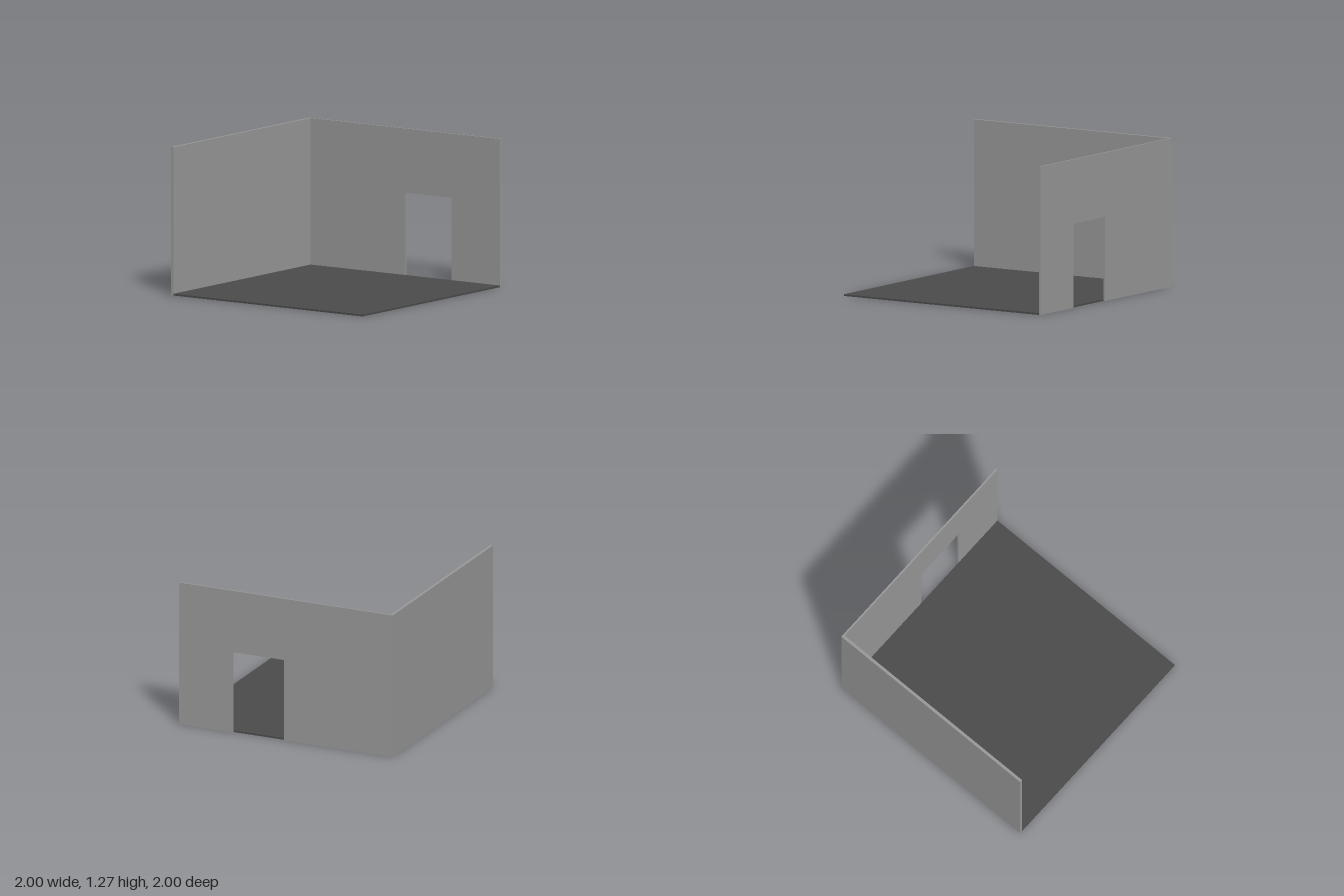
import * as THREE from 'three';

const HEIGHT = 1.27;
const SIDE_T = 0.015; // side wall thickness
const BACK_T = 0.025; // back wall thickness
const FLOOR_T = 0.015;

export function createModel() {
  const group = new THREE.Group();
  const wallMat = new THREE.MeshStandardMaterial({ color: 0x999999 });
  wallMat.name = 'wall grey';
  const floorMat = new THREE.MeshStandardMaterial({ color: 0x4b4b4b });
  floorMat.name = 'floor dark grey';

  const add = (name, geometry, material, x, y, z) => {
    const mesh = new THREE.Mesh(geometry, material);
    mesh.name = name;
    mesh.position.set(x, y, z);
    group.add(mesh);
    return mesh;
  };

  // Floor slab, tucked inside the two walls
  add('floor', new THREE.BoxGeometry(2 - SIDE_T, FLOOR_T, 2 - BACK_T), floorMat,
    -SIDE_T / 2, FLOOR_T / 2, BACK_T / 2);

  // Solid back wall
  add('backWall', new THREE.BoxGeometry(2 - SIDE_T, HEIGHT, BACK_T), wallMat,
    -SIDE_T / 2, HEIGHT / 2, -1 + BACK_T / 2);

  // Side wall outline with a doorway open at the bottom; shape x runs along -z
  const outline = new THREE.Shape([
    [-1, 0], [-0.495, 0], [-0.495, 0.72], [-0.017, 0.72], [-0.017, 0],
    [1, 0], [1, HEIGHT], [-1, HEIGHT],
  ].map(([x, y]) => new THREE.Vector2(x, y)));
  const sideGeometry = new THREE.ExtrudeGeometry(outline, { depth: SIDE_T, bevelEnabled: false });
  sideGeometry.rotateY(Math.PI / 2);
  add('doorwayWall', sideGeometry, wallMat, 1 - SIDE_T, 0, 0);

  return group;
}
